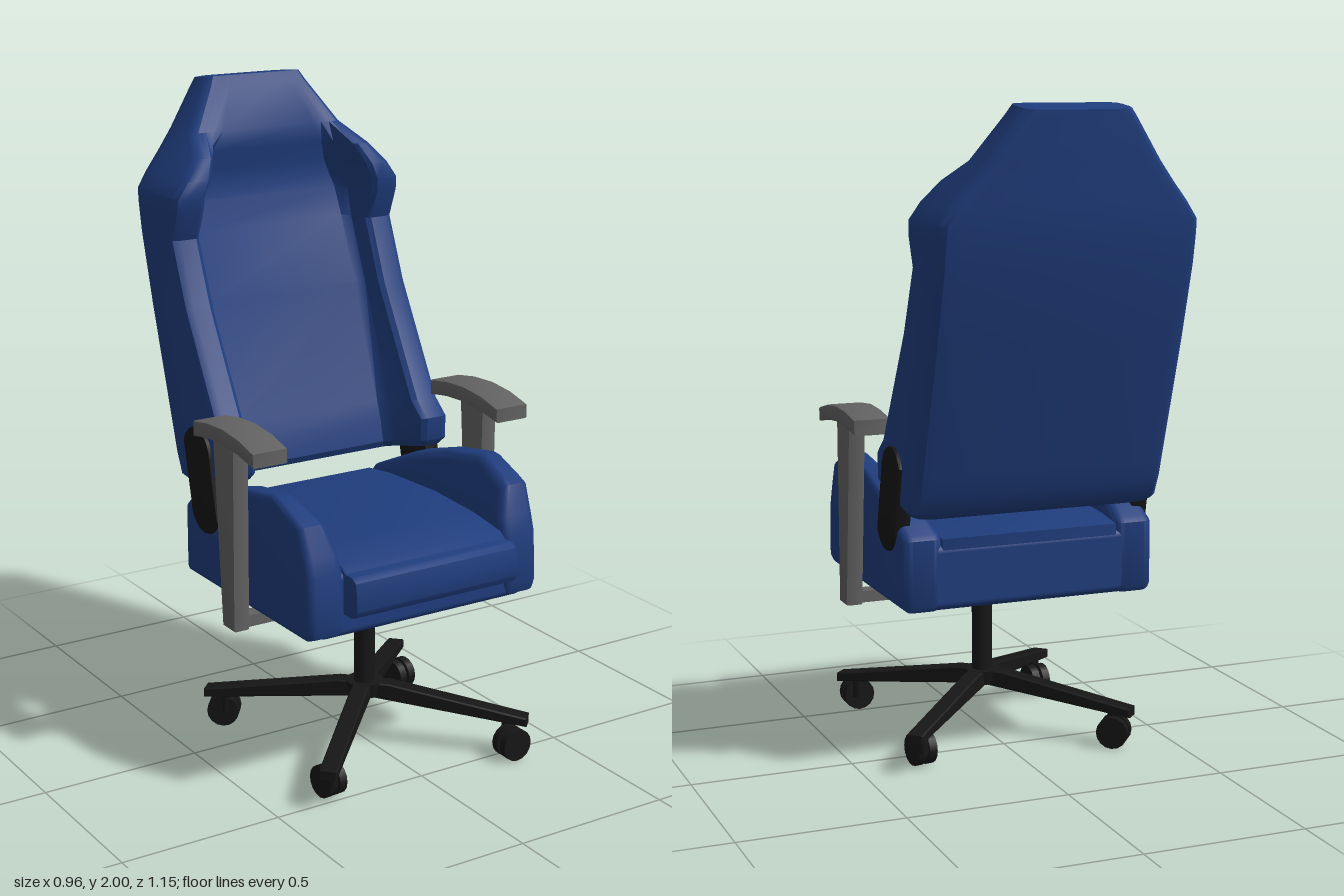
import * as THREE from 'three';
import { toCreasedNormals } from 'three/addons/utils/BufferGeometryUtils.js';
import { RoundedBoxGeometry } from 'three/addons/geometries/RoundedBoxGeometry.js';

const blue = new THREE.MeshStandardMaterial({ color: 0x1f3d7d });
const black = new THREE.MeshStandardMaterial({ color: 0x161616 });
const grey = new THREE.MeshStandardMaterial({ color: 0x626262 });
const CZ = 0.185; // z of the column and base

function add(parent, name, geo, mat, x = 0, y = 0, z = 0) {
  const m = new THREE.Mesh(geo, mat);
  m.name = name;
  m.position.set(x, y, z);
  parent.add(m);
  return m;
}

// Extrudes a [z, y] side profile along x with rounded edges
function slab(profile, x0, x1, bevel, segments = 3) {
  const shape = new THREE.Shape(profile.map(p => new THREE.Vector2(p[0], p[1])));
  const g = new THREE.ExtrudeGeometry(shape, {
    depth: x1 - x0 - 2 * bevel, bevelEnabled: bevel > 0, bevelThickness: bevel,
    bevelSize: bevel, bevelOffset: -bevel, bevelSegments: segments, curveSegments: 10,
  });
  g.rotateY(-Math.PI / 2);
  g.translate(x1 - bevel, 0, 0);
  return g;
}

// U-shaped cross-section of the backrest: wings at the sides, recessed panel between
function backSection([y, k, w, zb, zw, zc, wi, wp]) {
  const d = Math.min(0.03, (w - wi) * 0.4);
  const half = [
    [w - 0.06, zb], [w - 0.025, zb + 0.006], [w - 0.006, zb + 0.025], [w, zb + 0.055],
    [w, zw - 0.035], [w - d * 0.3, zw - 0.01], [w - d, zw],
    [wi + d * 0.5, zw], [wi, zw - Math.min(0.012, (zw - zc) * 0.2)],
    [wp + (wi - wp) * 0.3, zc + (zw - zc) * 0.2], [wp - 0.02, zc],
  ];
  const ring = [...half, ...half.map(([x, z]) => [-x, z]).reverse()];
  return ring.map(([x, z]) => new THREE.Vector3(x, y + k * (z - zb), z));
}

// Skins a stack of equal-length rings and closes both ends
function loft(rings) {
  const n = rings[0].length, pos = rings.flat().flatMap(p => [p.x, p.y, p.z]), index = [];
  for (let i = 0; i < rings.length - 1; i++) {
    for (let j = 0; j < n; j++) {
      const a = i * n + j, b = i * n + (j + 1) % n;
      index.push(a, a + n, b, b, a + n, b + n);
    }
  }
  for (const [r, up] of [[0, -1], [rings.length - 1, 1]]) {
    const flat = rings[r].map(p => new THREE.Vector2(p.x, p.z));
    for (const [a, b, c] of THREE.ShapeUtils.triangulateShape(flat, [])) {
      const ny = -flat[b].clone().sub(flat[a]).cross(flat[c].clone().sub(flat[a]));
      const o = r * n;
      if (ny * up > 0) index.push(o + a, o + b, o + c);
      else index.push(o + a, o + c, o + b);
    }
  }
  const g = new THREE.BufferGeometry();
  g.setAttribute('position', new THREE.Float32BufferAttribute(pos, 3));
  g.setIndex(index);
  return toCreasedNormals(g, 0.6);
}

function buildBackrest(root) {
  // y, tilt, half width, back z, wing z, panel z, wing inner x, panel x
  const levels = [
    [0.80, 0.22, 0.385, -0.25, 0.04, -0.12, 0.31, 0.29],
    [0.815, 0.22, 0.40, -0.267, 0.055, -0.11, 0.30, 0.28],
    [0.88, 0.22, 0.40, -0.297, 0.055, -0.125, 0.30, 0.28],
    [0.935, 0.22, 0.40, -0.314, 0.00, -0.145, 0.30, 0.28],
    [1.32, 0.10, 0.40, -0.435, -0.19, -0.275, 0.30, 0.28],
    [1.54, 0, 0.40, -0.497, -0.27, -0.36, 0.30, 0.28],
    [1.63, 0, 0.40, -0.514, -0.235, -0.385, 0.30, 0.27],
    [1.67, 0, 0.398, -0.521, -0.23, -0.392, 0.298, 0.255],
    [1.72, 0, 0.362, -0.53, -0.23, -0.392, 0.277, 0.235],
    [1.78, 0, 0.312, -0.54, -0.265, -0.375, 0.25, 0.215],
    [1.84, 0, 0.265, -0.55, -0.37, -0.371, 0.22, 0.18],
    [1.96, 0.06, 0.182, -0.57, -0.432, -0.433, 0.14, 0.12],
    [1.982, 0.12, 0.165, -0.573, -0.445, -0.446, 0.13, 0.11],
    [1.985, 0.12, 0.14, -0.568, -0.455, -0.456, 0.11, 0.09],
  ];
  add(root, 'backrest', loft(levels.map(backSection)), blue);
}

function buildSeat(root) {
  const seat = new THREE.Group();
  seat.name = 'seat';
  root.add(seat);
  add(seat, 'seatBase', new RoundedBoxGeometry(0.72, 0.2, 0.725, 3, 0.025), blue, 0, 0.612, 0.146);

  const cushion = [[-0.215, 0.6], [-0.215, 0.73], [-0.1, 0.745], [0.15, 0.755], [0.35, 0.745],
    [0.49, 0.725], [0.515, 0.708], [0.55, 0.708], [0.57, 0.695], [0.577, 0.665], [0.577, 0.61],
    [0.565, 0.59], [0.54, 0.582], [0.4, 0.582]];
  add(seat, 'cushion', toCreasedNormals(slab(cushion, -0.283, 0.283, 0.006, 2), 0.6), blue);

  // Side bolsters, leaning outwards towards the top
  const bolster = [[-0.205, 0.512], [0.48, 0.512], [0.51, 0.525], [0.522, 0.56], [0.512, 0.71],
    [0.495, 0.765], [0.462, 0.85], [0.43, 0.865], [0.33, 0.902], [0.3, 0.905], [0.14, 0.877],
    [-0.02, 0.83], [-0.205, 0.745], [-0.218, 0.73], [-0.218, 0.53]];
  for (const s of [-1, 1]) {
    const g = slab(bolster, s < 0 ? -0.403 : 0.28, s < 0 ? -0.28 : 0.403, 0.028, 4);
    const p = g.attributes.position;
    for (let i = 0; i < p.count; i++) {
      const lift = Math.max(0, p.getY(i) - 0.75);
      const inner = (0.403 - Math.abs(p.getX(i))) / 0.123;
      p.setX(i, p.getX(i) + s * lift * 0.35 * inner);
    }
    add(seat, s > 0 ? 'leftBolster' : 'rightBolster', toCreasedNormals(g, 0.7), blue);
  }
}

function buildSides(root) {
  // Pill-shaped hinge plate joining seat and back
  const plate = [], r = 0.083;
  for (let i = 0; i <= 20; i++) {
    const a = (i % 21) / 20 * Math.PI * 2;
    if (i === 20) break;
    const top = Math.sin(a + 0.26) >= 0;
    plate.push([(top ? -0.122 : -0.075) + r * Math.cos(a), (top ? 0.918 : 0.76) + r * Math.sin(a)]);
  }
  const pad = [[-0.005, 1.015], [0.08, 1.028], [0.17, 1.031], [0.26, 1.024], [0.345, 1.007],
    [0.345, 1.05], [0.26, 1.071], [0.17, 1.08], [0.08, 1.076], [-0.005, 1.062]];
  const post = [[0.202, 0.462], [0.132, 0.462], [0.088, 1.03], [0.207, 1.03]];
  for (const s of [-1, 1]) {
    const side = new THREE.Group();
    side.name = s > 0 ? 'leftSide' : 'rightSide';
    root.add(side);
    const span = (a, b) => (s > 0 ? [a, b] : [-b, -a]);
    add(side, 'hingePlate', toCreasedNormals(slab(plate, ...span(0.36, 0.412), 0.008, 2), 0.6), black);
    add(side, 'armPad', toCreasedNormals(slab(pad, ...span(0.366, 0.482), 0.006, 2), 0.5), grey);
    add(side, 'armPost', toCreasedNormals(slab(post, ...span(0.415, 0.468), 0.006, 2), 0.5), grey);
    add(side, 'armBar', new THREE.BoxGeometry(0.3, 0.036, 0.05), grey, s * 0.29, 0.483, 0.167);
  }
}

function buildBase(root) {
  const base = new THREE.Group();
  base.name = 'base';
  base.position.z = CZ;
  root.add(base);
  add(base, 'seatMount', new THREE.CylinderGeometry(0.215, 0.152, 0.065, 32), black, 0, 0.485, 0);
  add(base, 'column', new THREE.CylinderGeometry(0.032, 0.032, 0.29, 20), black, 0, 0.315, 0);
  add(base, 'hub', new THREE.CylinderGeometry(0.058, 0.05, 0.045, 20), black, 0, 0.178, 0);

  // Four diagonal legs
  const leg = [[0, 0.2], [0, 0.155], [0.51, 0.1], [0.51, 0.128], [0.08, 0.2]];
  for (let i = 0; i < 4; i++) {
    const m = add(base, 'leg', toCreasedNormals(slab(leg, -0.027, 0.027, 0.004, 1), 0.5), black);
    m.rotation.y = Math.PI / 4 + i * Math.PI / 2;
  }

  // Swivelled casters: x, z, turn of the axle about y
  const casters = [[0.305, 0.355, Math.PI / 2], [-0.3, 0.27, 0.1], [-0.31, -0.335, 0.9], [0.305, -0.265, 0.15]];
  for (const [x, z, turn] of casters) {
    const c = new THREE.Group();
    c.name = 'caster';
    c.position.set(x, 0.052, z);
    c.rotation.y = turn;
    base.add(c);
    for (const s of [-1, 1]) {
      const wheel = new THREE.CylinderGeometry(0.05, 0.05, 0.026, 16);
      wheel.rotateZ(Math.PI / 2);
      add(c, 'wheel', wheel, black, s * 0.018, 0, 0);
    }
    add(c, 'axle', new THREE.CylinderGeometry(0.02, 0.02, 0.05, 10).rotateZ(Math.PI / 2), black);
    const stem = add(base, 'casterStem', new THREE.CylinderGeometry(0.016, 0.016, 0.07, 10), black);
    stem.position.set(Math.sign(x) * 0.315, 0.085, Math.sign(z) * 0.315);
  }
}

export function createModel() {
  const root = new THREE.Group();
  root.name = 'officeChair';
  buildBackrest(root);
  buildSeat(root);
  buildSides(root);
  buildBase(root);
  return root;
}
